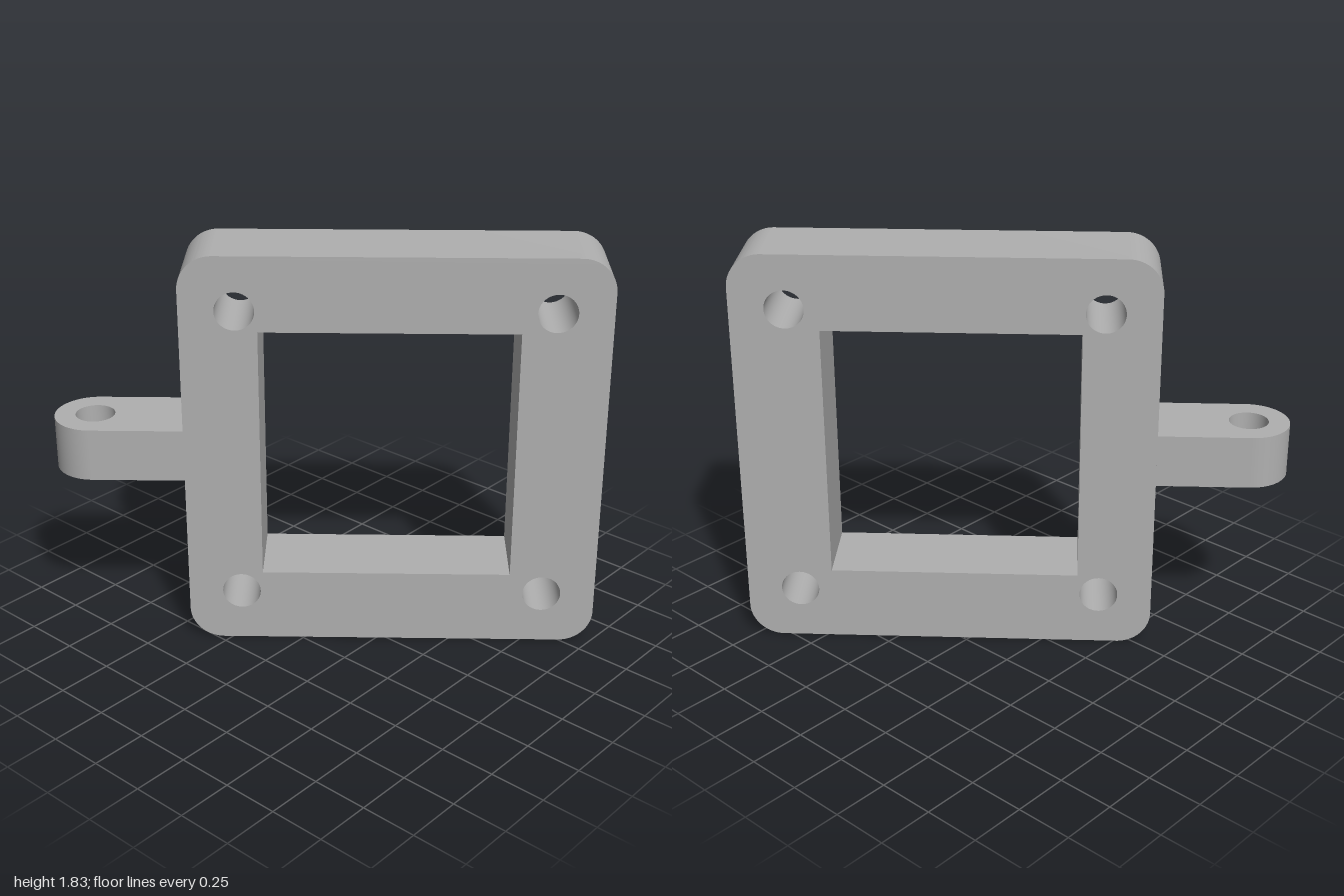
import * as THREE from 'three';
import { toCreasedNormals } from 'three/addons/utils/BufferGeometryUtils.js';

const LENGTH = 1.82, HEIGHT = 1.83, DEPTH = 0.358, CORNER = 0.15;

function circleHole(x, y, r) {
  const path = new THREE.Path();
  path.absarc(x, y, r, 0, Math.PI * 2, true);
  return path;
}

// Extrusion centred on its depth, with smooth curves and sharp edges
function extrude(shape, depth) {
  const geometry = new THREE.ExtrudeGeometry(shape, { depth, bevelEnabled: false, curveSegments: 24 });
  geometry.translate(0, 0, -depth / 2);
  return toCreasedNormals(geometry, 0.5);
}

// Rounded plate with a rectangular window and four bolt holes
function frameGeometry() {
  const w = LENGTH / 2, h = HEIGHT / 2, r = CORNER;
  const shape = new THREE.Shape();
  shape.absarc(w - r, h - r, r, 0, Math.PI / 2);
  shape.absarc(-w + r, h - r, r, Math.PI / 2, Math.PI);
  shape.absarc(-w + r, -h + r, r, Math.PI, Math.PI * 1.5);
  shape.absarc(w - r, -h + r, r, Math.PI * 1.5, Math.PI * 2);
  shape.closePath();

  const left = -0.578, right = 0.528, bottom = -0.577, top = 0.58;
  const opening = new THREE.Path();
  opening.moveTo(left, bottom);
  opening.lineTo(left, top);
  opening.lineTo(right, top);
  opening.lineTo(right, bottom);
  opening.closePath();
  shape.holes.push(opening);

  for (const sx of [-1, 1]) {
    for (const sy of [-1, 1]) shape.holes.push(circleHole(sx * 0.674, sy * 0.673, 0.085));
  }
  return extrude(shape, DEPTH);
}

// Round-ended lug with a vertical pin hole, flush with both plate faces
function lugGeometry() {
  const r = DEPTH / 2, centre = -1.314, root = -LENGTH / 2;
  const shape = new THREE.Shape();
  shape.moveTo(root, -r);
  shape.lineTo(root, r);
  shape.lineTo(centre, r);
  shape.absarc(centre, 0, r, Math.PI / 2, Math.PI * 1.5);
  shape.closePath();
  shape.holes.push(circleHole(centre, 0, 0.087));
  return extrude(shape, 0.238).rotateX(-Math.PI / 2);
}

export function createModel() {
  const grey = new THREE.MeshStandardMaterial({ color: 0xb0b0b0 });
  grey.name = 'grey';

  const frame = new THREE.Mesh(frameGeometry(), grey);
  frame.name = 'framePlate';
  const lug = new THREE.Mesh(lugGeometry(), grey);
  lug.name = 'hingeLug';

  // The whole bracket stands turned about the vertical
  const bracket = new THREE.Group();
  bracket.name = 'bracket';
  bracket.add(frame, lug);
  bracket.rotation.y = -THREE.MathUtils.degToRad(50);
  bracket.position.set(0.149, HEIGHT / 2, 0.186);

  const model = new THREE.Group();
  model.name = 'model';
  model.add(bracket);
  return model;
}
